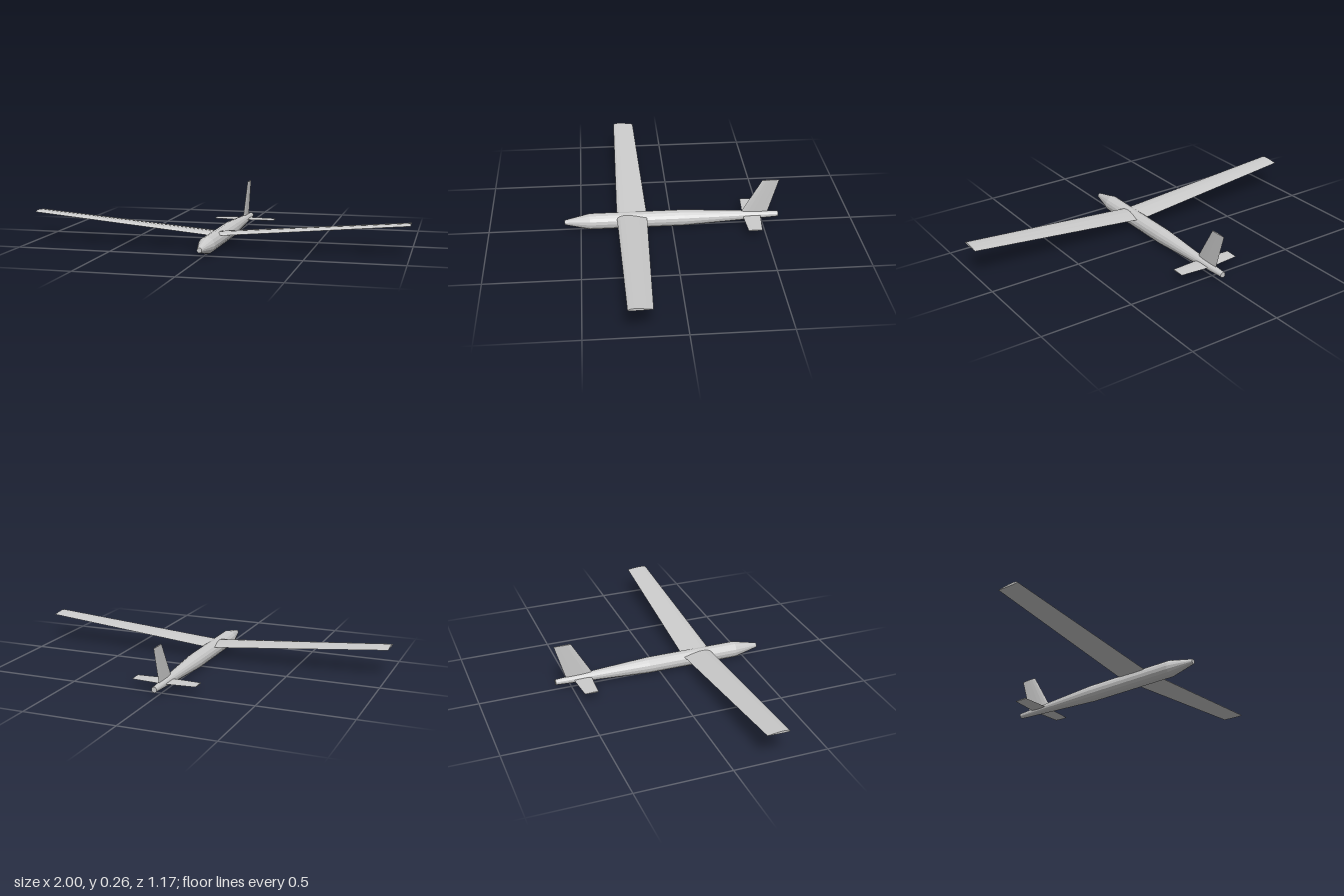
import * as THREE from 'three';

const material = new THREE.MeshStandardMaterial({ color: 0xcccccc, flatShading: true });

// Chordwise samples: [fraction from leading edge, fraction of full thickness]
const FOIL = [[0.72, 0.55], [0.45, 0.92], [0.25, 1], [0.1, 0.75], [0.03, 0.4]];

// One airfoil ring at span x: trailing edge, over the top, leading edge, back underneath
function section({ x, y, front, back, upper, lower }) {
  const at = (t, h) => new THREE.Vector3(x, y + h, front + (back - front) * t);
  return [
    at(1, 0),
    ...FOIL.map(([t, k]) => at(t, k * upper)),
    at(0, 0),
    ...FOIL.slice().reverse().map(([t, k]) => at(t, -k * lower)),
  ];
}

// Skin between successive rings along +x, closed at both ends
function loft(name, sections) {
  const rings = sections.map(section);
  const n = rings[0].length;
  const index = [];
  for (let i = 0; i < rings.length - 1; i++) {
    for (let j = 0; j < n; j++) {
      const a = i * n + j, b = i * n + (j + 1) % n;
      index.push(a, b, b + n, a, b + n, a + n);
    }
  }
  const last = (rings.length - 1) * n;
  for (let j = 1; j < n - 1; j++) {
    index.push(0, j + 1, j, last, last + j, last + j + 1);
  }
  const geometry = new THREE.BufferGeometry().setFromPoints(rings.flat());
  geometry.setIndex(index);
  geometry.computeVertexNormals();
  const mesh = new THREE.Mesh(geometry, material);
  mesh.name = name;
  return mesh;
}

// Tip, centre, tip: a symmetric surface spanning both sides
function span(name, root, tip) {
  return loft(name, [{ ...tip, x: -tip.x }, root, tip]);
}

export function createModel() {
  const glider = new THREE.Group();
  glider.name = 'glider';

  // Fuselage: tapered tail boom, straight middle, blunt conical nose
  const profile = [[0, -0.587], [0.015, -0.587], [0.044, -0.065], [0.044, 0.45], [0.013, 0.587], [0, 0.587]];
  const body = new THREE.LatheGeometry(profile.map(([r, z]) => new THREE.Vector2(r, z)), 16);
  body.rotateX(Math.PI / 2);
  const fuselage = new THREE.Mesh(body, material);
  fuselage.name = 'fuselage';
  fuselage.position.y = 0.044;
  glider.add(fuselage);

  // Main wing with dihedral
  glider.add(span('wing',
    { x: 0, y: 0.068, front: 0.303, back: 0.138, upper: 0.014, lower: 0.004 },
    { x: 1, y: 0.155, front: 0.287, back: 0.167, upper: 0.009, lower: 0.003 }));

  // Horizontal tail
  glider.add(span('tailplane',
    { x: 0, y: 0.046, front: -0.39, back: -0.49, upper: 0.004, lower: 0.004 },
    { x: 0.175, y: 0.046, front: -0.4, back: -0.475, upper: 0.003, lower: 0.003 }));

  // Swept fin, lofted along x and turned upright
  const fin = loft('fin', [
    { x: 0.045, y: 0, front: -0.37, back: -0.524, upper: 0.006, lower: 0.006 },
    { x: 0.257, y: 0, front: -0.493, back: -0.586, upper: 0.004, lower: 0.004 },
  ]);
  fin.rotation.z = Math.PI / 2;
  glider.add(fin);

  return glider;
}
